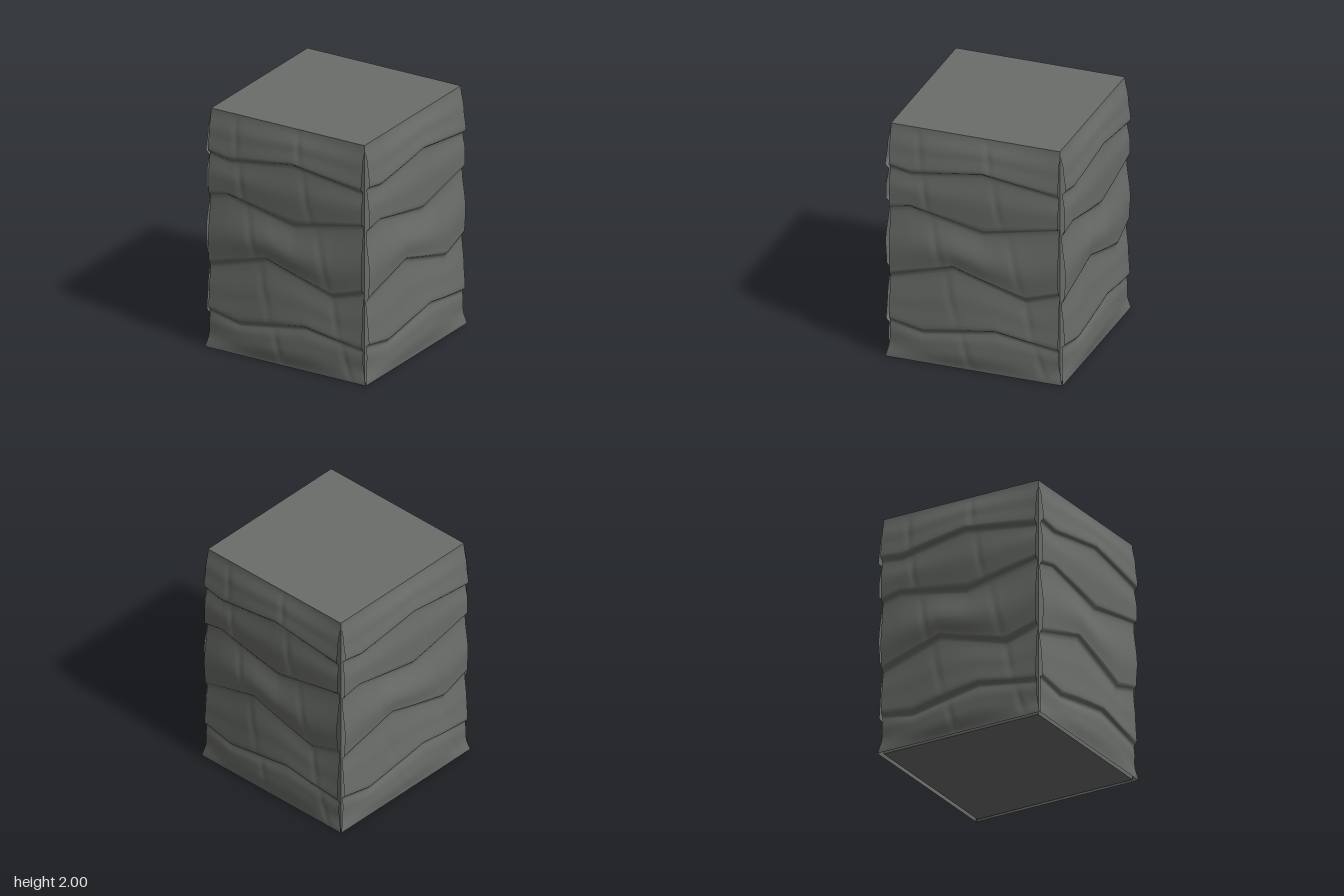
import * as THREE from 'three';

const HALF = 0.7, HEIGHT = 2, FOOT = 0.035, COLS = 84;

// crack lines between the rock courses, as [across, height] points
const cracks = [
  [[-0.7, 0], [0.7, 0]],
  [[-0.7, 0.31], [-0.42, 0.255], [0.18, 0.36], [0.7, 0.275]],
  [[-0.7, 0.69], [-0.17, 0.855], [0.43, 0.67], [0.7, 0.755]],
  [[-0.7, 1.275], [-0.53, 1.315], [0.08, 1.19], [0.7, 1.32]],
  [[-0.7, 1.635], [-0.52, 1.605], [0.07, 1.70], [0.7, 1.605]],
  [[-0.7, HEIGHT], [0.7, HEIGHT]],
];

// relief of each course from its bottom to its top: [t, depth at the ends, depth at the middle]
const courses = [
  [[0, 0.035, 0.035], [0.4, 0.018, 0.055], [0.75, 0.022, 0.05], [1, 0.015, 0.03]],
  [[0, 0.015, 0.03], [0.08, 0.04, 0.065], [0.45, 0.03, 0.05], [1, 0.01, 0.022]],
  [[0, 0.01, 0.022], [0.06, 0.035, 0.055], [0.38, 0.045, 0.073], [1, 0.012, 0.025]],
  [[0, 0.012, 0.025], [0.09, 0.04, 0.055], [0.5, 0.04, 0.06], [1, 0.02, 0.035]],
  [[0, 0.02, 0.035], [0.09, 0.048, 0.066], [0.5, 0.03, 0.045], [1, 0, 0]],
];

// slanting upright seams
const seams = [
  [[-0.02, 0], [-0.2, 0.6], [-0.4, 1.4], [-0.48, 2]],
  [[0.58, 0], [0.33, 1], [0.2, 1.4], [0.09, 2]],
];

function follow(points, v, from = 0, to = 1) {
  let i = 1;
  while (i < points.length - 1 && v > points[i][from]) i++;
  const a = points[i - 1], b = points[i];
  return a[to] + (b[to] - a[to]) * (v - a[from]) / (b[from] - a[from]);
}

function relief(course, t, u, y) {
  const keys = courses[course];
  const centre = Math.cos((u / HALF) * Math.PI / 2);
  let i = 1;
  while (i < keys.length - 1 && t > keys[i][0]) i++;
  const a = keys[i - 1], b = keys[i];
  const f = THREE.MathUtils.smoothstep(t, a[0], b[0]);
  const at = (k) => k[1] + (k[2] - k[1]) * centre;
  let d = at(a) + (at(b) - at(a)) * f;
  const fade = Math.sin(Math.PI * t);
  for (const seam of seams) {
    const s = (u - follow(seam, y, 1, 0)) / 0.025;
    d -= 0.007 * fade * Math.exp(-s * s);
  }
  return Math.max(d, 0);
}

// one rock face: a sheet whose rows follow the crack lines
function rockFaceGeometry() {
  const rows = [];
  const steps = [0, 0.03, 0.06, 0.09, 0.15, 0.25, 0.35, 0.45, 0.55, 0.65, 0.75, 0.85, 0.94];
  courses.forEach((_, c) => steps.forEach((t) => rows.push([c, t])));
  rows.push([courses.length - 1, 1]);

  const positions = [], index = [];
  rows.forEach(([c, t], r) => {
    for (let i = 0; i <= COLS; i++) {
      const u = -HALF + (2 * HALF * i) / COLS;
      const low = follow(cracks[c], u), high = follow(cracks[c + 1], u);
      const y = low + (high - low) * t;
      // the foot flares out at the ground
      const flare = FOOT * Math.max(0, 1 - y / 0.2) ** 2;
      positions.push(u * (1 + flare / HALF), y, HALF + relief(c, t, u, y));
      if (r < rows.length - 1 && i < COLS) {
        const a = r * (COLS + 1) + i, b = a + COLS + 1;
        index.push(a, a + 1, b + 1, a, b + 1, b);
      }
    }
  });
  const geometry = new THREE.BufferGeometry();
  geometry.setAttribute('position', new THREE.Float32BufferAttribute(positions, 3));
  geometry.setIndex(index);
  geometry.computeVertexNormals();
  return geometry;
}

export function createModel() {
  const group = new THREE.Group();
  group.name = 'rockPillar';
  const stone = new THREE.MeshStandardMaterial({ color: 0x6a6d69, side: THREE.DoubleSide });
  stone.name = 'grey stone';

  // plain block inside
  const core = new THREE.Mesh(new THREE.BoxGeometry(2 * HALF, HEIGHT, 2 * HALF), stone);
  core.name = 'core';
  core.position.y = HEIGHT / 2;
  group.add(core);

  // the same rock face on all four sides
  const geometry = rockFaceGeometry();
  ['frontRockFace', 'leftRockFace', 'backRockFace', 'rightRockFace'].forEach((name, i) => {
    const face = new THREE.Mesh(geometry, stone);
    face.name = name;
    face.rotation.y = (i * Math.PI) / 2;
    group.add(face);
  });
  return group;
}
